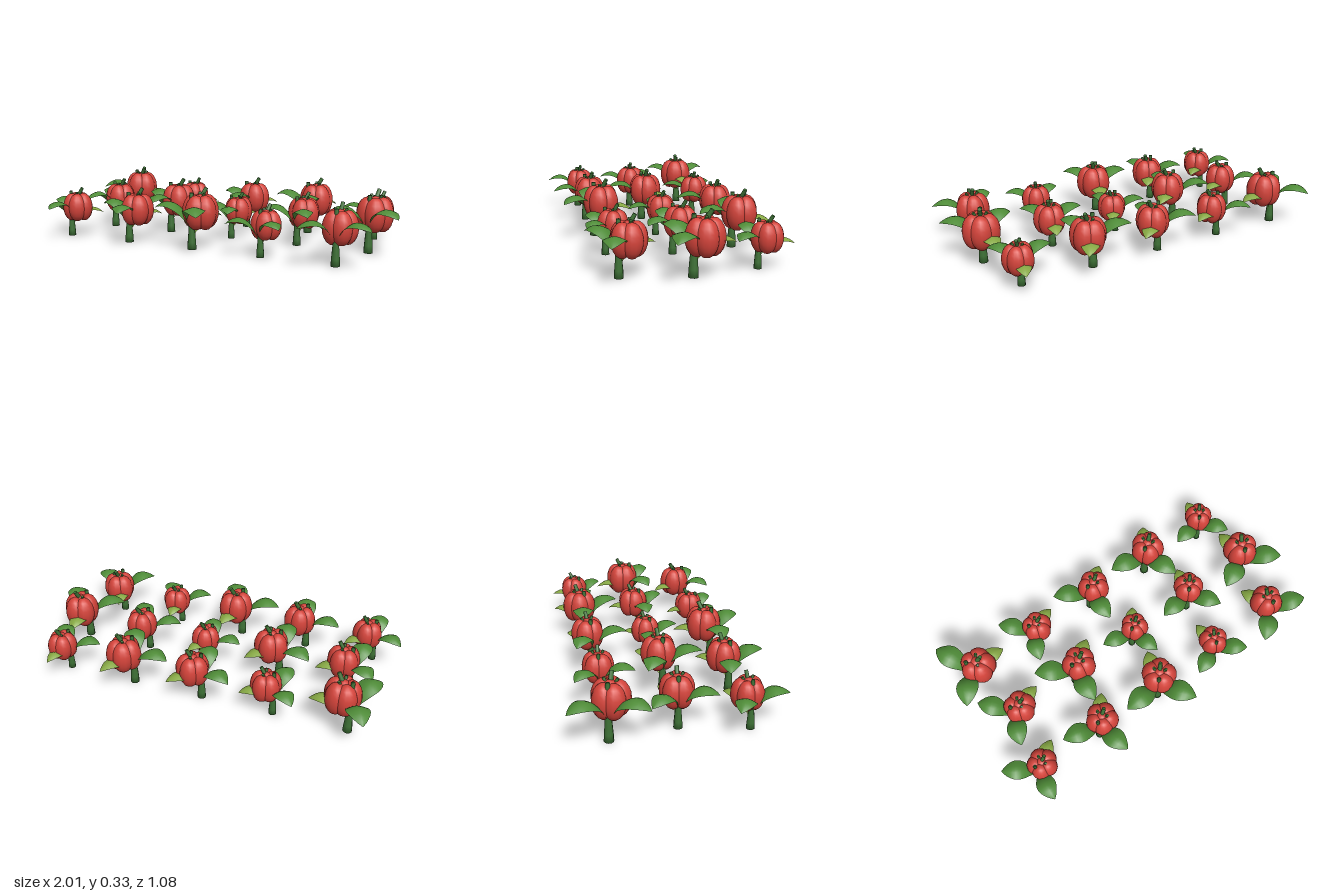
import * as THREE from 'three';

const mat = (name, color, side = THREE.FrontSide) => {
  const m = new THREE.MeshStandardMaterial({ color, side });
  m.name = name;
  return m;
};

// Arched leaf running out along +x: a grid bent along a curve, its edges drooping
function leafGeometry(p0, p1, p2, halfWidth) {
  const curve = new THREE.QuadraticBezierCurve(
    new THREE.Vector2(...p0), new THREE.Vector2(...p1), new THREE.Vector2(...p2));
  const geo = new THREE.PlaneGeometry(1, 2, 12, 6);
  const pos = geo.attributes.position;
  for (let i = 0; i < pos.count; i++) {
    const u = pos.getX(i) + 0.5, v = pos.getY(i);
    const c = curve.getPoint(u);
    const bulge = Math.max(0, Math.sin(Math.PI * Math.pow(u, 1.2)));
    const w = 0.006 * (1 - u) + halfWidth * Math.pow(bulge, 0.85);
    pos.setXYZ(i, c.x, c.y - Math.pow(Math.abs(v), 1.5) * w * 0.35, -v * w);
  }
  geo.computeVertexNormals();
  return geo;
}

// Cylinder between two points
function stub(a, b, r0, r1, material, name) {
  const from = new THREE.Vector3(...a), dir = new THREE.Vector3(...b).sub(from);
  const mesh = new THREE.Mesh(new THREE.CylinderGeometry(r1, r0, dir.length(), 8), material);
  mesh.name = name;
  mesh.position.copy(from).addScaledVector(dir, 0.5);
  mesh.quaternion.setFromUnitVectors(new THREE.Vector3(0, 1, 0), dir.normalize());
  return mesh;
}

export function createModel() {
  const red = mat('fruit red', 0xd3433a);
  const green = mat('stem green', 0x3d7035);
  const leafGreen = mat('leaf green', 0x4f8c38, THREE.DoubleSide);
  const youngGreen = mat('young leaf green', 0x86a844, THREE.DoubleSide);

  const stemGeo = new THREE.LatheGeometry(
    [[0, 0], [0.025, 0], [0.023, 0.04], [0.018, 0.1], [0.012, 0.2], [0.011, 0.305], [0, 0.305]]
      .map(([x, y]) => new THREE.Vector2(x, y)), 10);
  const lobeGeo = new THREE.SphereGeometry(1, 14, 10);
  const bigLeaf = leafGeometry([0.01, 0.12], [0.1, 0.325], [0.222, 0.21], 0.058);
  const youngLeaf = leafGeometry([0.01, 0.08], [0.11, 0.26], [0.215, 0.155], 0.046);

  // Ribbed fruit: a ring of lobes around a core, set off to one side of the stem
  function makeFruit() {
    const fruit = new THREE.Group();
    fruit.name = 'fruit';
    fruit.position.set(0.047, 0.2, 0.018);
    fruit.rotation.y = -0.38;
    for (let k = 0; k < 5; k++) {
      const a = (k * Math.PI * 2) / 5;
      const lobe = new THREE.Mesh(lobeGeo, red);
      lobe.name = 'fruitLobe';
      lobe.scale.set(0.058, 0.093, 0.06);
      lobe.position.set(Math.cos(a) * 0.042, 0, Math.sin(a) * 0.042);
      lobe.rotation.y = -a;
      fruit.add(lobe);
    }
    const core = new THREE.Mesh(lobeGeo, red);
    core.name = 'fruitCore';
    core.scale.set(0.055, 0.096, 0.055);
    fruit.add(core);
    // Stalks on the crown
    fruit.add(stub([0, 0.07, 0], [0.034, 0.128, 0], 0.013, 0.011, green, 'crownStalk'));
    for (const s of [-1, 1])
      fruit.add(stub([0.005, 0.07, s * 0.022], [0.01, 0.102, s * 0.034], 0.01, 0.008, green, 'crownStub'));
    return fruit;
  }

  function makePlant() {
    const plant = new THREE.Group();
    plant.name = 'plant';
    const stem = new THREE.Mesh(stemGeo, green);
    stem.name = 'stem';
    plant.add(stem, makeFruit());
    [[0, youngLeaf, youngGreen, 'youngLeaf'], [115, bigLeaf, leafGreen, 'leaf'],
      [235, bigLeaf, leafGreen, 'leaf']].forEach(([deg, geo, m, name]) => {
      const leaf = new THREE.Mesh(geo, m);
      leaf.name = name;
      leaf.rotation.y = THREE.MathUtils.degToRad(deg);
      plant.add(leaf);
    });
    return plant;
  }

  // Three staggered rows of five plants, each turned and sized a little differently
  const sizes = [
    [1, 0.85, 0.92, 0.98, 0.82],
    [0.9, 0.97, 0.8, 0.88, 1],
    [0.85, 0.92, 1, 0.82, 0.93],
  ];
  const model = new THREE.Group();
  model.name = 'fruitPlantBed';
  sizes.forEach((row, r) => row.forEach((s, i) => {
    const plant = makePlant();
    plant.position.set(-0.852 + 0.4 * i + (r === 1 ? 0.065 : 0), 0, -0.342 + 0.342 * r);
    plant.rotation.y = THREE.MathUtils.degToRad(1 + 18.5 * i + 16 * r);
    plant.scale.setScalar(s);
    model.add(plant);
  }));
  return model;
}
